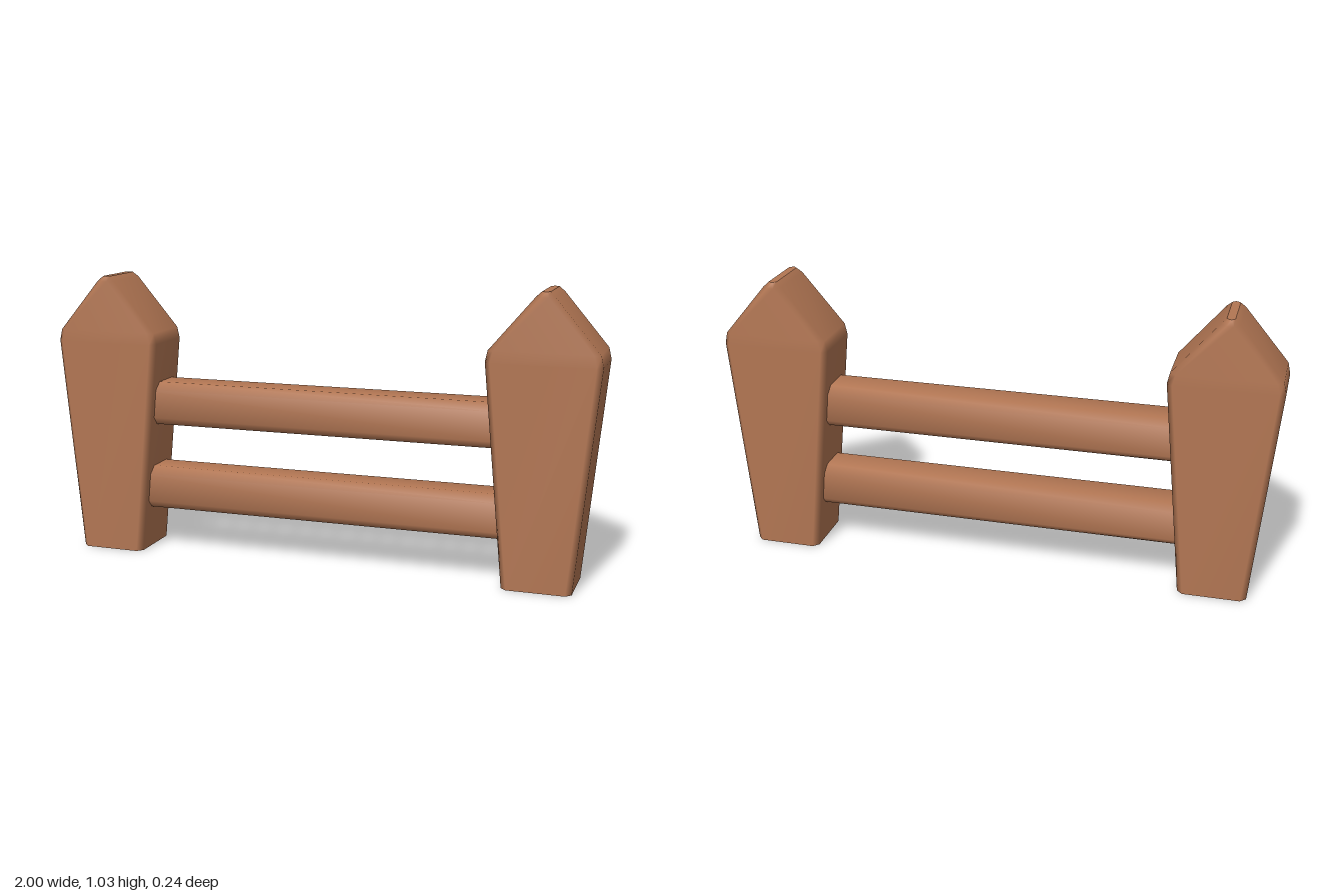
import * as THREE from 'three';

// Chamfered rectangle in the xz plane, running from +x towards +z
function section(y, hw, hd, c) {
  const w = hw - c, d = hd - c;
  return [[hw, -d], [hw, d], [w, hd], [-w, hd], [-hw, d], [-hw, -d], [-w, -hd], [w, -hd]]
    .map(([x, z]) => [x, y, z]);
}

// Smooth skin through the sections, with flat sharp-edged caps
function loft(sections) {
  const n = 8, pos = sections.flat(2), index = [];
  for (let i = 0; i < sections.length - 1; i++) {
    for (let j = 0; j < n; j++) {
      const a = i * n + j, b = i * n + (j + 1) % n;
      index.push(a, a + n, b, b, a + n, b + n);
    }
  }
  const first = pos.length / 3;
  pos.push(...sections[0].flat(), ...sections[sections.length - 1].flat());
  for (let j = 1; j < n - 1; j++) {
    index.push(first, first + j, first + j + 1);
    index.push(first + n, first + n + j + 1, first + n + j);
  }
  const g = new THREE.BufferGeometry();
  g.setAttribute('position', new THREE.Float32BufferAttribute(pos, 3));
  g.setIndex(index);
  g.computeVertexNormals();
  return g;
}

export function createModel() {
  const group = new THREE.Group();
  const wood = new THREE.MeshStandardMaterial({ color: 0xb27653 });
  wood.name = 'brown wood';

  // Posts flare upwards, then close to a ridge running front to back
  const postGeometry = loft([
    section(0, 0.122, 0.12, 0.02),
    section(0.785, 0.197, 0.12, 0.02),
    section(0.825, 0.188, 0.12, 0.02),
    section(1.01, 0.032, 0.12, 0.02),
    section(1.027, 0.014, 0.1, 0.01),
  ]);
  for (const side of [-1, 1]) {
    const post = new THREE.Mesh(postGeometry, wood);
    post.name = side > 0 ? 'leftPost' : 'rightPost';
    post.position.x = side * 0.803;
    group.add(post);
  }

  // Rails end inside the posts
  const railGeometry = loft([
    section(-0.72, 0.08, 0.08, 0.028),
    section(0.72, 0.08, 0.08, 0.028),
  ]);
  railGeometry.rotateZ(-Math.PI / 2);
  [['lowerRail', 0.24], ['upperRail', 0.56]].forEach(([name, y]) => {
    const rail = new THREE.Mesh(railGeometry, wood);
    rail.name = name;
    rail.position.y = y;
    group.add(rail);
  });

  return group;
}
